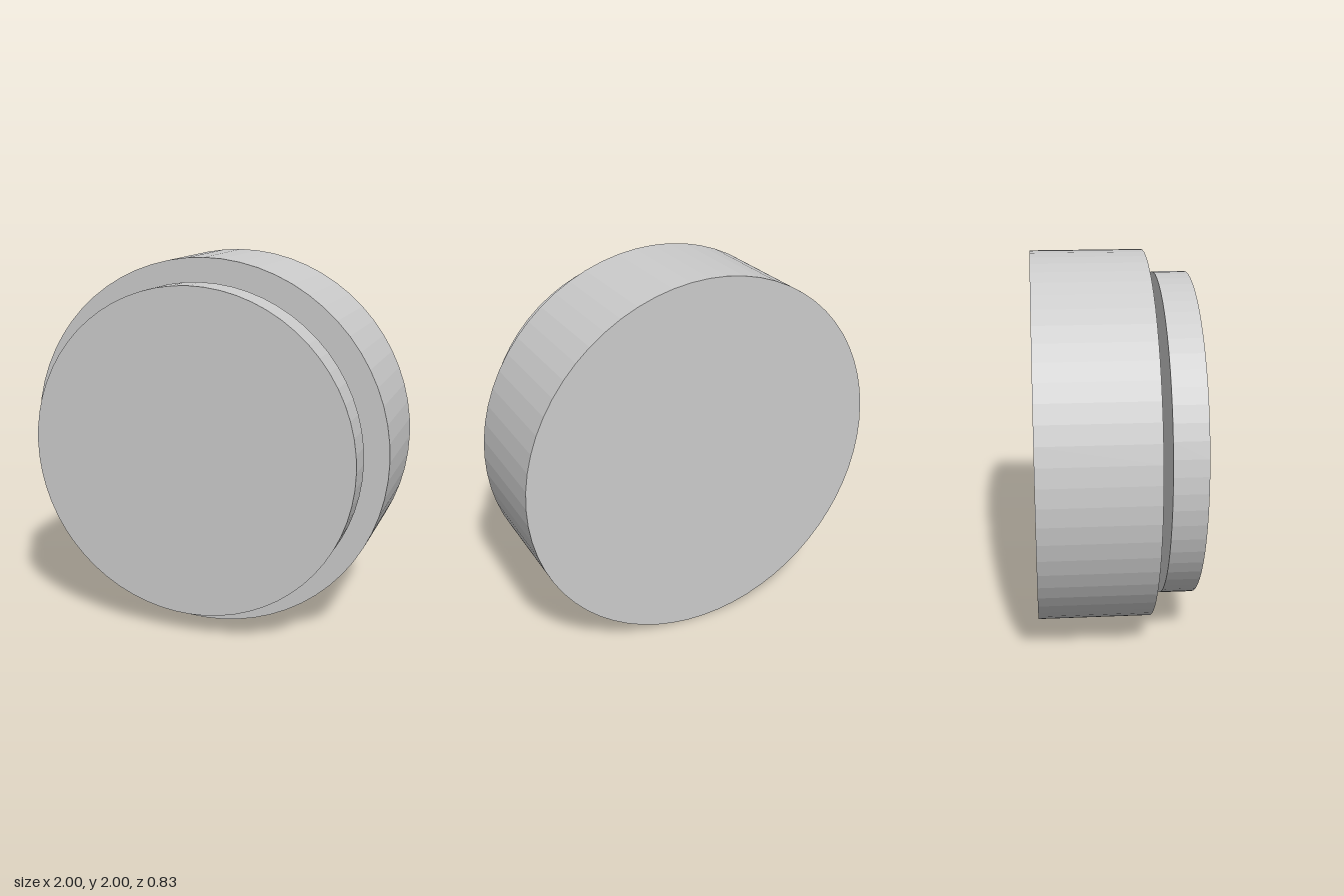
import * as THREE from 'three';

export function createModel() {
  const model = new THREE.Group();
  const material = new THREE.MeshStandardMaterial({ color: 0xcccccc, flatShading: true });

  // Round part on the z axis, spanning zBack to zFront
  function addDisc(name, radius, zBack, zFront) {
    const geometry = new THREE.CylinderGeometry(radius, radius, zFront - zBack, 64);
    geometry.rotateX(Math.PI / 2);
    const mesh = new THREE.Mesh(geometry, material);
    mesh.name = name;
    mesh.position.set(0, 1, (zBack + zFront) / 2);
    model.add(mesh);
  }

  addDisc('body', 1, -0.415, 0.18);
  addDisc('stem', 0.353, 0.18, 0.24);
  addDisc('frontPlate', 0.88, 0.24, 0.415);

  return model;
}
